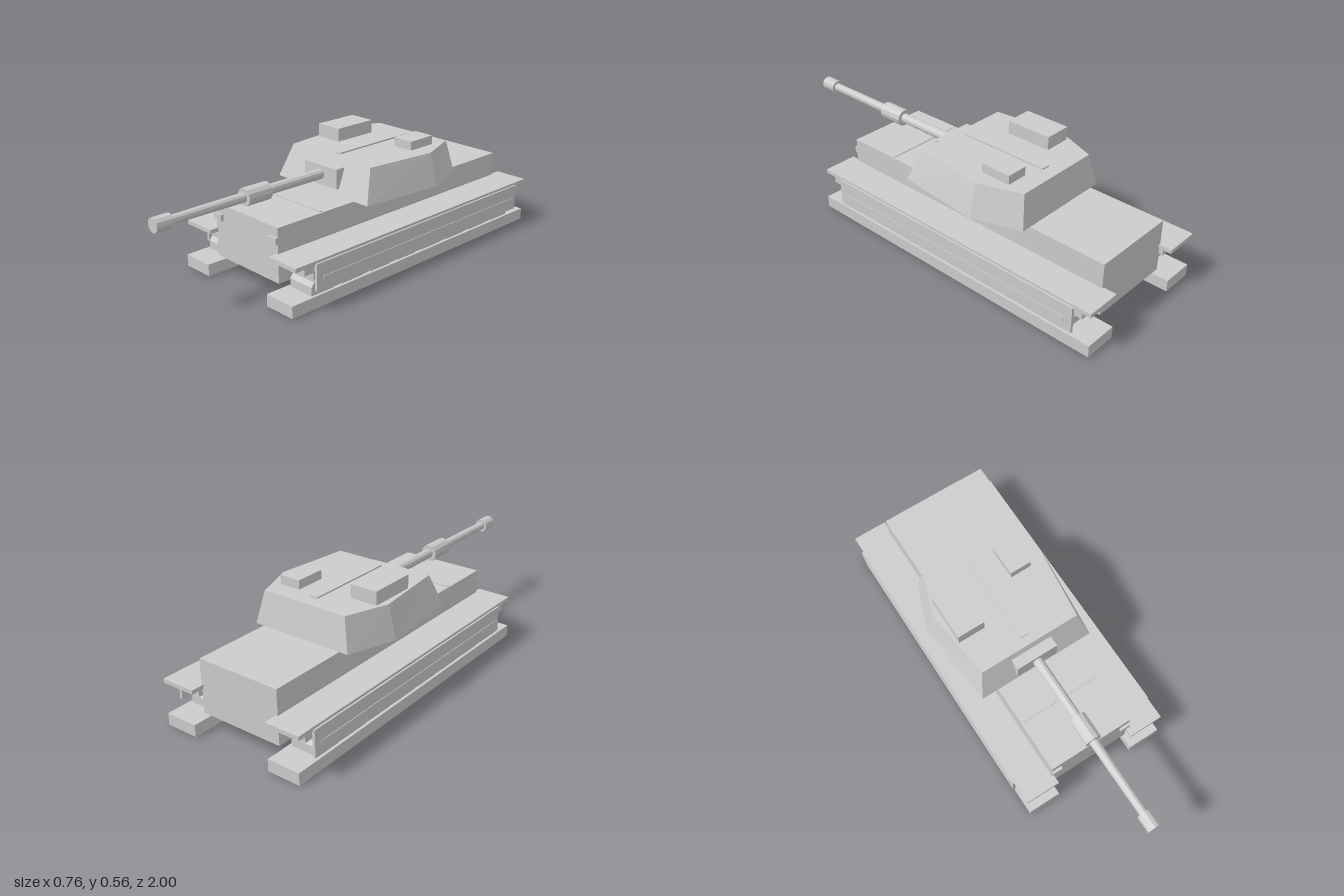
import * as THREE from 'three';

const lightGrey = new THREE.MeshStandardMaterial({ color: 0xcccccc, flatShading: true });
lightGrey.name = 'lightGrey';

export function createModel() {
  const tank = new THREE.Group();
  tank.name = 'tank';

  function add(name, geometry, parent = tank) {
    const mesh = new THREE.Mesh(geometry, lightGrey);
    mesh.name = name;
    parent.add(mesh);
    return mesh;
  }

  // Box given by its limits on each axis
  function box(name, x0, x1, y0, y1, z0, z1, parent) {
    const g = new THREE.BoxGeometry(x1 - x0, y1 - y0, z1 - z0);
    g.translate((x0 + x1) / 2, (y0 + y1) / 2, (z0 + z1) / 2);
    return add(name, g, parent);
  }

  // Hull with a thin splash bar on the front deck
  box('hull', -0.21, 0.21, 0.085, 0.34, -0.937, 0.537);
  box('splashBar', -0.2, 0.2, 0.338, 0.344, 0.273, 0.287);

  // Running gear, mirrored by choosing the sign of x
  for (const s of [1, -1]) {
    const side = new THREE.Group();
    side.name = s > 0 ? 'leftRunningGear' : 'rightRunningGear';
    tank.add(side);
    const sideBox = (name, a, b, ...rest) =>
      box(name, Math.min(s * a, s * b), Math.max(s * a, s * b), ...rest, side);

    sideBox('lowerTrack', 0.204, 0.365, 0, 0.057, -1, 0.6);
    sideBox('upperTrack', 0.208, 0.365, 0.17, 0.203, -0.957, 0.53);
    sideBox('fender', 0.2, 0.37, 0.203, 0.222, -1, 0.583);
    sideBox('wheelCore', 0.222, 0.348, 0.05, 0.172, -0.86, 0.465);
    sideBox('skirt', 0.365, 0.378, 0.085, 0.21, -0.917, 0.473);
    sideBox('skirtRail', 0.376, 0.381, 0.128, 0.147, -0.88, 0.44);
    sideBox('headlight', 0.16, 0.21, 0.265, 0.296, 0.53, 0.55);

    // Road wheels
    const wheels = 8;
    for (let i = 0; i < wheels; i++) {
      const g = new THREE.CylinderGeometry(0.068, 0.068, 0.134, 10);
      g.rotateZ(Math.PI / 2);
      const wheel = add('roadWheel', g, side);
      wheel.rotation.x = Math.PI / 2;
      wheel.position.set(s * 0.285, 0.075, 0.415 - i * (1.225 / (wheels - 1)));
    }
  }

  // Six-sided turret, tapering from base to roof
  const base = [[0.295, 0.092], [0.335, -0.33], [0.254, -0.558]];
  const roof = [[0.254, 0.033], [0.294, -0.33], [0.22, -0.53]];
  const ring = (half, y) => [...half, ...half.slice().reverse().map(([x, z]) => [-x, z])]
    .map(([x, z]) => [x, y, z]);
  const low = ring(base, 0.34), high = ring(roof, 0.495);
  const points = [];
  for (let i = 0; i < 6; i++) {
    const j = (i + 1) % 6;
    points.push(low[i], low[j], high[j], low[i], high[j], high[i]);
    if (i > 0 && i < 5) {
      points.push(high[0], high[i], high[j]);
      points.push(low[0], low[j], low[i]);
    }
  }
  const turret = new THREE.BufferGeometry();
  turret.setAttribute('position', new THREE.Float32BufferAttribute(points.flat(), 3));
  turret.computeVertexNormals();
  add('turret', turret);

  // Roof fittings
  box('commanderSight', -0.263, -0.128, 0.49, 0.559, -0.373, -0.143);
  box('loaderHatch', 0.105, 0.21, 0.49, 0.538, -0.437, -0.287);
  box('roofStrip', -0.021, 0.021, 0.49, 0.502, -0.465, -0.01);

  // Gun: mantlet, stepped barrel, sleeve and muzzle
  box('mantlet', -0.105, 0.105, 0.37, 0.465, 0, 0.097);
  function tube(name, z0, z1, r0, r1 = r0) {
    const g = new THREE.CylinderGeometry(r1, r0, z1 - z0, 12);
    g.rotateX(Math.PI / 2);
    g.translate(0, 0.422, (z0 + z1) / 2);
    add(name, g);
  }
  tube('barrel', 0.08, 0.93, 0.025, 0.02);
  tube('boreEvacuator', 0.415, 0.543, 0.041);
  tube('muzzle', 0.92, 1, 0.033);

  return tank;
}
